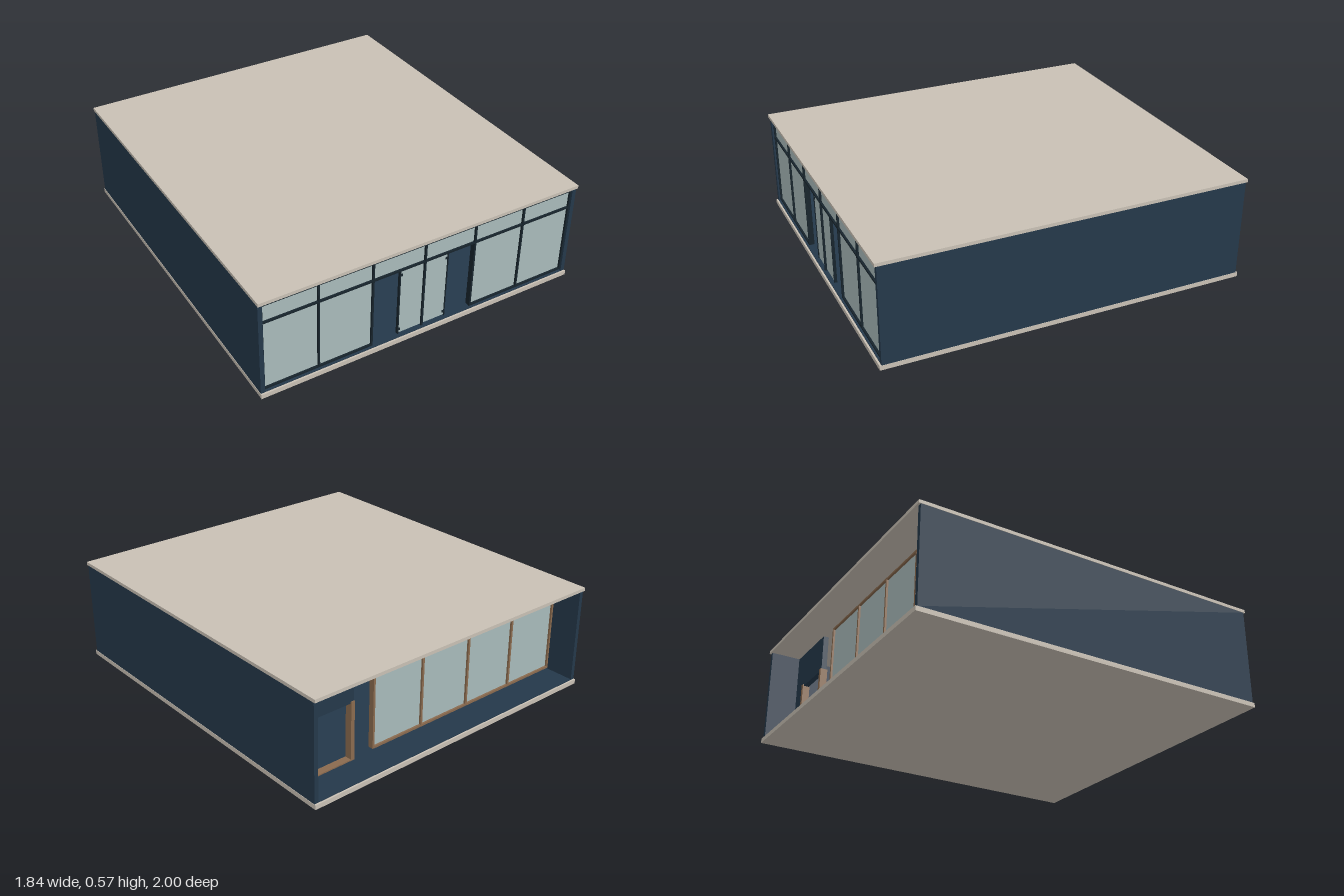
import * as THREE from 'three';

const mat = (color) => new THREE.MeshStandardMaterial({ color });

export function createModel() {
  const model = new THREE.Group();
  model.name = 'pavilion';
  const stone = mat(0xc8c0b4), navy = mat(0x24384a), glass = mat(0xa8baba);
  const metal = mat(0x17242c), wood = mat(0x8a6a4e);

  // Box given by its minimum and maximum along each axis
  const box = (name, material, x0, x1, y0, y1, z0, z1, parent = model) => {
    const mesh = new THREE.Mesh(new THREE.BoxGeometry(x1 - x0, y1 - y0, z1 - z0), material);
    mesh.position.set((x0 + x1) / 2, (y0 + y1) / 2, (z0 + z1) / 2);
    mesh.name = name;
    parent.add(mesh);
    return mesh;
  };
  const group = (name) => {
    const g = new THREE.Group();
    g.name = name;
    model.add(g);
    return g;
  };

  // Shell: slab, floor, roof and the two solid side walls
  box('baseSlab', stone, -0.92, 0.92, 0, 0.025, -1, 1);
  box('floor', navy, -0.91, 0.91, 0.025, 0.029, -0.99, 0.99);
  box('roof', stone, -0.92, 0.92, 0.557, 0.575, -1, 1);
  for (const s of [-1, 1]) {
    const a = s * 0.895, b = s * 0.918;
    box(s > 0 ? 'leftWall' : 'rightWall', navy, Math.min(a, b), Math.max(a, b), 0.025, 0.557, -0.99, 0.99);
  }

  // Front glazing: six bays with a transom; the two bays by the door are open
  const front = group('frontGlazing');
  const fz = 0.965, sill = 0.037, transom = 0.436, head = 0.538;
  for (let i = -3; i <= 3; i++) {
    const x = i * 0.298;
    box('mullion', metal, x - 0.005, x + 0.005, sill - 0.005, head + 0.006, fz - 0.015, fz + 0.015, front);
    if (i === 3) continue;
    box('upperPane', glass, x, x + 0.298, transom, head, fz - 0.004, fz + 0.004, front);
    if (i !== -1 && i !== 0) {
      box('lowerPane', glass, x, x + 0.298, sill, transom, fz - 0.004, fz + 0.004, front);
      box('bottomRail', metal, x, x + 0.298, sill - 0.005, sill + 0.004, fz - 0.015, fz + 0.015, front);
    }
  }
  box('transom', metal, -0.895, 0.895, transom - 0.005, transom + 0.005, fz - 0.015, fz + 0.015, front);
  box('headRail', metal, -0.895, 0.895, head - 0.004, head + 0.008, fz - 0.015, fz + 0.015, front);

  // Central double door with jambs and hinges
  const door = group('frontDoor');
  for (const s of [-1, 1]) {
    const x0 = s > 0 ? 0.005 : -0.137, x1 = x0 + 0.132;
    box('doorLeaf', glass, x0, x1, sill, 0.426, fz - 0.004, fz + 0.004, door);
    box('doorJamb', metal, s * 0.14 - 0.003, s * 0.14 + 0.003, sill - 0.005, transom, fz - 0.008, fz + 0.008, door);
    for (const y of [0.06, 0.4]) {
      box('hinge', metal, s * 0.132 - 0.005, s * 0.132 + 0.005, y - 0.007, y + 0.007, fz - 0.007, fz + 0.007, door);
    }
  }

  // Recessed rear glazing: four panes in a timber frame
  const rear = group('rearGlazing');
  const bz = -0.81, pane = 0.325, left = -0.89, right = left + 4 * pane;
  for (let i = 0; i <= 4; i++) {
    const x = left + i * pane;
    box('timberMullion', wood, x - 0.006, x + 0.006, 0.035, 0.547, bz - 0.015, bz + 0.015, rear);
    if (i < 4) box('rearPane', glass, x, x + pane, 0.04, 0.543, bz - 0.004, bz + 0.004, rear);
  }
  box('rearBottomRail', wood, left, right, 0.034, 0.046, bz - 0.015, bz + 0.015, rear);
  box('rearTopRail', wood, left, right, 0.538, 0.548, bz - 0.015, bz + 0.015, rear);

  // Rear entrance: side wall, header, timber posts and threshold
  const entry = group('rearEntrance');
  box('entryWall', navy, 0.81, 0.896, 0.029, 0.556, bz - 0.015, bz + 0.015, entry);
  box('entryHeader', navy, 0.54, 0.82, 0.345, 0.556, bz - 0.015, bz + 0.015, entry);
  for (const x of [0.55, 0.8]) {
    box('entryPost', wood, x - 0.011, x + 0.011, 0.029, 0.355, bz - 0.02, bz + 0.02, entry);
  }
  box('threshold', wood, 0.55, 0.8, 0.029, 0.036, bz - 0.02, bz + 0.02, entry);

  return model;
}
